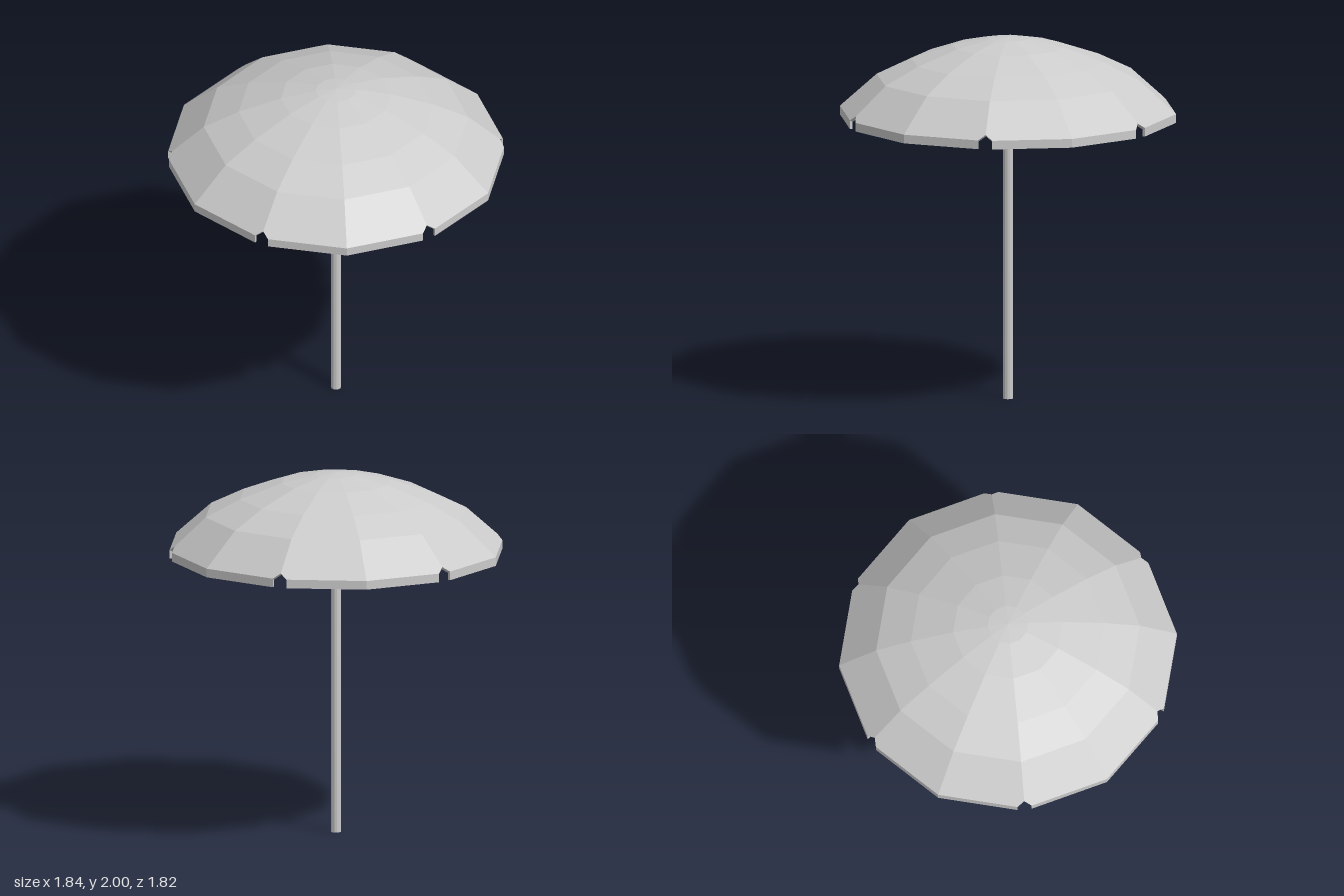
import * as THREE from 'three';

const RINGS = [[0, 2], [0.11, 1.99], [0.30, 1.95], [0.53, 1.87], [0.72, 1.777], [0.922, 1.595]];
const HEM_Y = 1.547;
const NOTCH = 0.04;      // half width of each notch
const STEP = Math.PI / 6;

// Named corners of one 30 degree half panel, from rib angle a to seam angle b
function halfPanel(a, b, shrink, drop) {
  const at = (angle, [r, y]) =>
    new THREE.Vector3(Math.cos(angle) * r * shrink, y - drop, Math.sin(angle) * r * shrink);
  const rib = RINGS.map((ring) => at(a, ring));
  const seam = RINGS.map((ring) => at(b, ring));
  const eave = rib[5];
  const side = seam[5].clone().lerp(eave, NOTCH / seam[5].distanceTo(eave));
  const tip = seam[4].clone().lerp(seam[5], 0.85);
  const low = (p) => new THREE.Vector3(p.x, HEM_Y, p.z);
  return { rib, seam, eave, side, tip, sideLow: low(side), eaveLow: low(eave) };
}

function canopyGeometry() {
  const positions = [];
  const face = (points, flip) => {
    const p = flip ? [...points].reverse() : points;
    for (let i = 1; i < p.length - 1; i++) {
      for (const v of [p[0], p[i], p[i + 1]]) positions.push(v.x, v.y, v.z);
    }
  };
  const skin = ({ rib, seam, eave, side, tip, sideLow, eaveLow }, flip) => {
    face([rib[0], seam[1], rib[1]], flip);
    for (let i = 1; i < 4; i++) face([seam[i], seam[i + 1], rib[i + 1], rib[i]], flip);
    face([rib[4], seam[4], tip, side, eave], flip);
    face([eave, side, sideLow, eaveLow], flip);
  };
  for (let k = 0; k < 6; k++) {
    for (const s of [1, -1]) {
      const a = k * 2 * STEP;
      const b = a + s * STEP;
      const outer = halfPanel(a, b, 1, 0);
      const inner = halfPanel(a, b, 0.983, 0.01);
      const flip = s < 0;
      skin(outer, flip);
      skin(inner, !flip);
      // Cloth thickness along the notch and the hem
      for (const [p, q] of [['side', 'tip'], ['sideLow', 'side'], ['eaveLow', 'sideLow']]) {
        face([outer[p], outer[q], inner[q], inner[p]], flip);
      }
    }
  }
  const geometry = new THREE.BufferGeometry();
  geometry.setAttribute('position', new THREE.Float32BufferAttribute(positions, 3));
  geometry.computeVertexNormals();
  return geometry;
}

export function createModel() {
  const group = new THREE.Group();
  group.name = 'parasol';
  const material = new THREE.MeshStandardMaterial({ color: 0xcccccc, flatShading: true });

  // Twelve-sided canopy with a notched valance
  const canopy = new THREE.Mesh(canopyGeometry(), material);
  canopy.name = 'canopy';
  group.add(canopy);

  // Pole reaching up to the crown
  const pole = new THREE.Mesh(new THREE.CylinderGeometry(0.028, 0.028, 1.985, 12), material);
  pole.name = 'pole';
  pole.position.y = 1.985 / 2;
  group.add(pole);

  return group;
}
